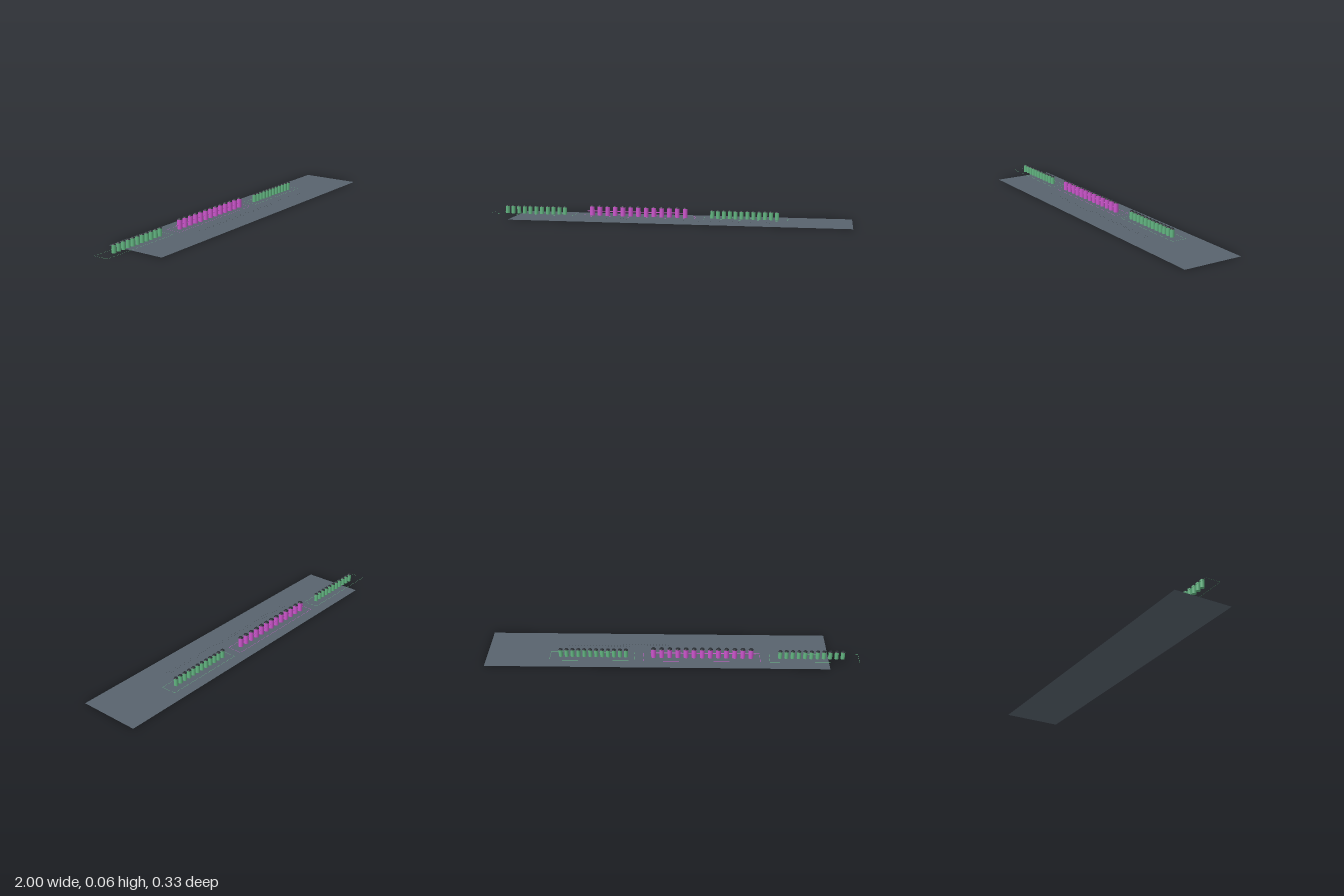
import * as THREE from 'three';

export function createModel() {
  const model = new THREE.Group();
  const mat = (name, color) => {
    const m = new THREE.MeshStandardMaterial({ color, side: THREE.DoubleSide });
    m.name = name;
    return m;
  };
  const slate = mat('slate', 0x58636d);
  const green = mat('green', 0x62b581);
  const magenta = mat('magenta', 0xcc55cc);
  const dark = mat('dark', 0x2a2e34);
  const rowZ = -0.0625;

  const add = (parent, name, geometry, material, x, y, z) => {
    const mesh = new THREE.Mesh(geometry, material);
    mesh.name = name;
    mesh.position.set(x, y, z);
    parent.add(mesh);
    return mesh;
  };
  const flat = (w, d) => new THREE.PlaneGeometry(w, d).rotateX(-Math.PI / 2);

  // Floor sheet
  add(model, 'floor', flat(1.835, 0.33), slate, 0.0825, 0, 0);

  // Thin flat rectangle marked around each row
  function outline(parent, x0, x1, material) {
    const z0 = -0.105, z1 = -0.024, w = 0.0015, y = 0.001;
    const long = flat(x1 - x0, w);
    const short = flat(w, z1 - z0);
    for (const z of [z0, z1]) add(parent, 'outlineLong', long, material, (x0 + x1) / 2, y, z);
    for (const x of [x0 + w / 2, x1 - w / 2]) add(parent, 'outlineShort', short, material, x, y, (z0 + z1) / 2);
  }

  // Row of smooth upright posts with tapered dark caps
  function row(name, material, { first, last, count, r, body, cap, x0, x1 }) {
    const group = new THREE.Group();
    group.name = name;
    const bodyGeo = new THREE.CylinderGeometry(r, r, body, 20);
    const capGeo = new THREE.CylinderGeometry(r * 0.7, r, cap, 20);
    for (let i = 0; i < count; i++) {
      const x = first + (last - first) * i / (count - 1);
      add(group, 'post', bodyGeo, material, x, body / 2 + 0.001, rowZ);
      add(group, 'cap', capGeo, dark, x, body + cap / 2 + 0.001, rowZ);
    }
    outline(group, x0, x1, material);
    model.add(group);
    return group;
  }

  const small = { r: 0.011, body: 0.041, cap: 0.005 };
  row('rightRow', green, { ...small, first: -0.912, last: -0.577, count: 11, x0: -1, x1: -0.52 });
  row('leftRow', green, { ...small, first: 0.251, last: 0.602, count: 12, x0: 0.205, x1: 0.66 });
  const middle = row('middleRow', magenta,
    { r: 0.013, body: 0.05, cap: 0.006, first: -0.42, last: 0.102, count: 13, x0: -0.47, x1: 0.157 });

  // Rod running through the middle posts
  const rod = add(middle, 'rod', new THREE.CylinderGeometry(0.0025, 0.0025, 0.557, 12), magenta, -0.168, 0.025, rowZ);
  rod.rotation.z = Math.PI / 2;

  // Two lines of short cross ticks in front
  const ticks = new THREE.Group();
  ticks.name = 'tickLines';
  const tick = flat(0.001, 0.007);
  for (const z of [0.038, 0.052])
    for (let i = 0; i < 60; i++) add(ticks, 'tick', tick, dark, -0.4 + i * 0.0164, 0.0015, z);
  model.add(ticks);

  return model;
}
